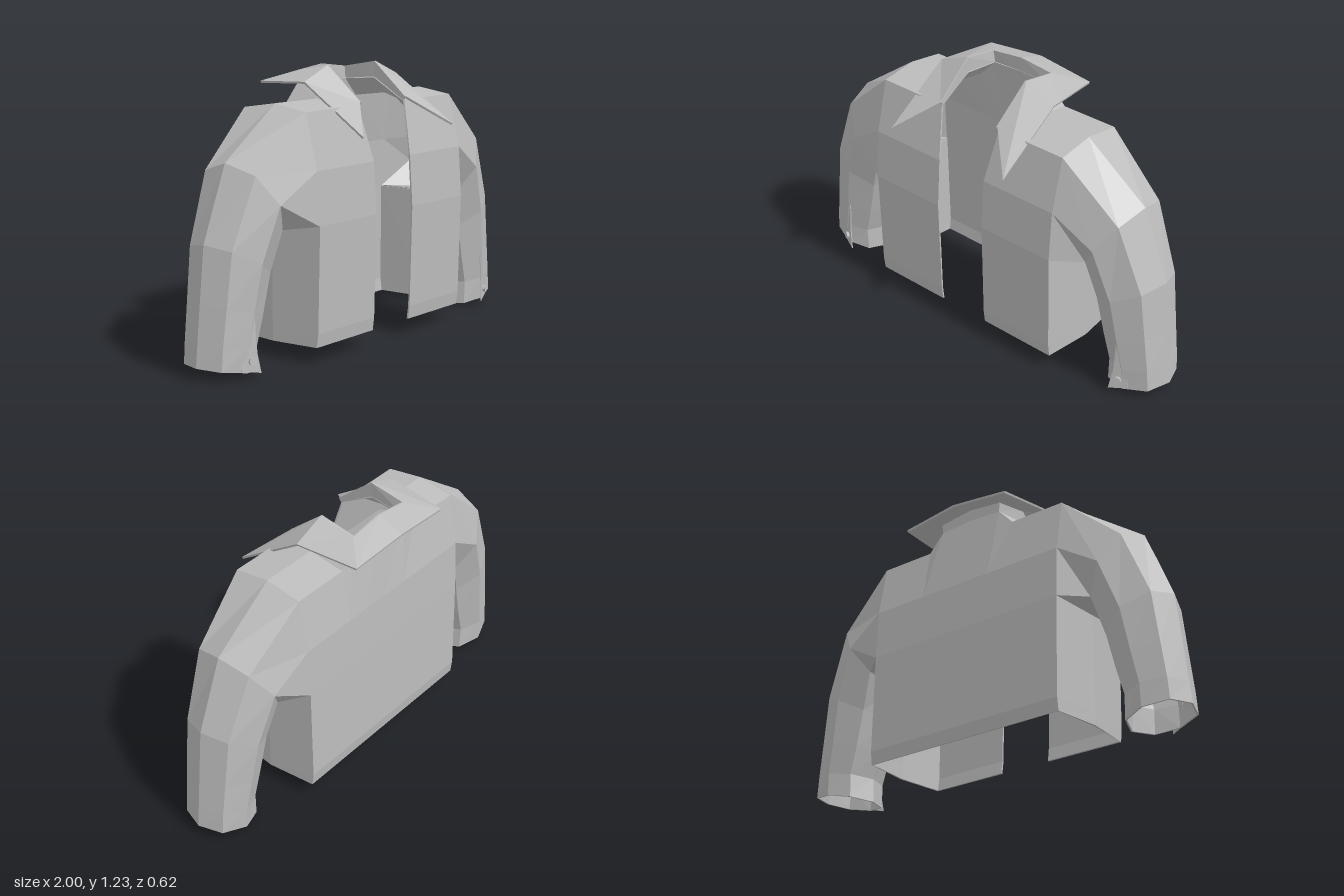
import * as THREE from 'three';

const cloth = new THREE.MeshStandardMaterial({ color: 0xbcbcbc, side: THREE.DoubleSide });
cloth.name = 'grey cloth';

const mirrorX = (rows) => rows.map((row) => row.map(([x, y, z]) => [-x, y, z]).reverse());

// Thin flat-shaded cloth panel from rows of points, thickened inwards
function panel(name, rows, thickness = 0.008) {
  const nr = rows.length, nc = rows[0].length, n = nr * nc;
  const outer = rows.flat(2), faces = [];
  for (let r = 0; r < nr - 1; r++) {
    for (let c = 0; c < nc - 1; c++) {
      const a = r * nc + c, b = a + 1, d = a + nc, e = d + 1;
      faces.push(a, b, e, a, e, d);
    }
  }
  const skin = new THREE.BufferGeometry();
  skin.setAttribute('position', new THREE.Float32BufferAttribute(outer, 3));
  skin.setIndex(faces);
  skin.computeVertexNormals();
  const normals = skin.attributes.normal.array;
  const inner = outer.map((v, i) => v - normals[i] * thickness);

  // Inside faces and the strip round the border
  const all = faces.slice();
  for (let i = 0; i < faces.length; i += 3) all.push(faces[i] + n, faces[i + 2] + n, faces[i + 1] + n);
  const border = [];
  for (let c = 0; c < nc - 1; c++) border.push(c);
  for (let r = 0; r < nr - 1; r++) border.push(r * nc + nc - 1);
  for (let c = nc - 1; c > 0; c--) border.push((nr - 1) * nc + c);
  for (let r = nr - 1; r > 0; r--) border.push(r * nc);
  border.forEach((p, i) => {
    const q = border[(i + 1) % border.length];
    all.push(p, p + n, q + n, p, q + n, q);
  });

  const solid = new THREE.BufferGeometry();
  solid.setAttribute('position', new THREE.Float32BufferAttribute([...outer, ...inner], 3));
  solid.setIndex(all);
  const flat = solid.toNonIndexed();
  flat.computeVertexNormals();
  const mesh = new THREE.Mesh(flat, cloth);
  mesh.name = name;
  return mesh;
}

// Full row from its +x half, front to back
const wrap = (half) => [...half, ...half.filter((p) => p[0] > 0).map(([x, y, z]) => [-x, y, z]).reverse()];

// Eight-sided sleeve ring between its inner and outer points
function sleeveRing([ix, iy], [ox, oy], front, edge) {
  const zc = -0.015;
  const at = (t, z) => [ix + (ox - ix) * t, iy + (oy - iy) * t, zc + z];
  return [
    at(0, 0), at(0.15, edge), at(0.5, front), at(0.87, edge), at(1, 0),
    at(0.87, -edge), at(0.5, -front), at(0.15, -edge), at(0, 0),
  ];
}

export function createModel() {
  const jacket = new THREE.Group();
  jacket.name = 'jacket';

  // Lower body, open at the front
  const bodyRow = (y, f, b) => wrap([
    [0.13, y, f], [0.51, y, f], [0.535, y, -0.015], [0.51, y, b], [0.13, y, b], [0, y, b],
  ]);
  jacket.add(panel('lowerBody', [
    bodyRow(0.07, 0.21, -0.24), bodyRow(0.13, 0.218, -0.248), bodyRow(0.59, 0.23, -0.24),
  ]));

  // Chest, shoulder and upper back, running over the shoulder from front to back
  const yoke = [
    [0.13, 0.59, 0.59, 0.23], [0.13, 0.82, 0.82, 0.215], [0.165, 1.06, 1.06, 0.155],
    [0.17, 1.155, 1.085, -0.015],
    [0.165, 1.14, 1.06, -0.187], [0.13, 0.82, 0.82, -0.23], [0.13, 0.59, 0.59, -0.24],
  ].map(([x, neckY, y, z]) => [[x, neckY, z], [0.24, y, z], [0.51, y, z]]);

  // Sleeve from cuff to armhole
  const sleeve = [
    sleeveRing([0.705, 0.0], [1.0, 0.05], 0.147, 0.107),
    sleeveRing([0.71, 0.11], [0.99, 0.145], 0.15, 0.108),
    sleeveRing([0.672, 0.23], [0.972, 0.31], 0.16, 0.112),
    sleeveRing([0.63, 0.385], [0.945, 0.55], 0.175, 0.118),
    sleeveRing([0.59, 0.53], [0.815, 0.868], 0.2, 0.14),
    [
      [0.535, 0.59, -0.015], [0.51, 0.59, 0.23], [0.51, 0.82, 0.215], [0.51, 1.06, 0.155],
      [0.51, 1.085, -0.015],
      [0.51, 1.06, -0.187], [0.51, 0.82, -0.23], [0.51, 0.59, -0.24], [0.535, 0.59, -0.015],
    ],
  ];

  // Loose flap at the cuff opening
  const flap = [
    [[0.8, 0.02, 0.16], [0.88, 0.035, 0.125]],
    [[0.815, 0.12, 0.148], [0.875, 0.13, 0.12]],
    [[0.815, 0.27, 0.14], [0.825, 0.27, 0.138]],
  ];

  for (const [side, sign] of [['left', 1], ['right', -1]]) {
    const place = (rows) => (sign > 0 ? rows : mirrorX(rows));
    jacket.add(panel(side + 'Yoke', place(yoke)));
    jacket.add(panel(side + 'Sleeve', place(sleeve)));
    jacket.add(panel(side + 'CuffFlap', place(flap), 0.005));
    const buttonShape = new THREE.CylinderGeometry(0.017, 0.017, 0.012, 8).toNonIndexed();
    buttonShape.computeVertexNormals();
    const button = new THREE.Mesh(buttonShape, cloth);
    button.name = side + 'CuffButton';
    button.position.set(sign * 0.84, 0.075, 0.15);
    button.rotation.set(Math.PI / 2 - 0.1, 0, -sign * 0.4);
    jacket.add(button);
  }

  // Upper back between the two yokes
  jacket.add(panel('upperBack', [
    [0.13, 0.59, 0.59, -0.24], [0.13, 0.82, 0.82, -0.23], [0.165, 1.14, 1.15, -0.187],
  ].map(([x, y, midY, z]) => [[x, y, z], [0, midY, z], [-x, y, z]])));

  // Collar stand and the turned-down collar
  const neck = wrap([[0.165, 1.06, 0.155], [0.17, 1.155, -0.015], [0.165, 1.14, -0.187], [0, 1.15, -0.187]]);
  const fold = wrap([[0.165, 1.075, 0.165], [0.17, 1.225, -0.012], [0.168, 1.195, -0.187], [0, 1.215, -0.187]]);
  const edge = wrap([[0.323, 0.95, 0.31], [0.323, 1.163, -0.012], [0.285, 1.15, -0.3], [0, 1.175, -0.312]]);
  jacket.add(panel('collarStand', [neck, fold]));
  jacket.add(panel('collar', [edge, fold], 0.01));

  return jacket;
}
